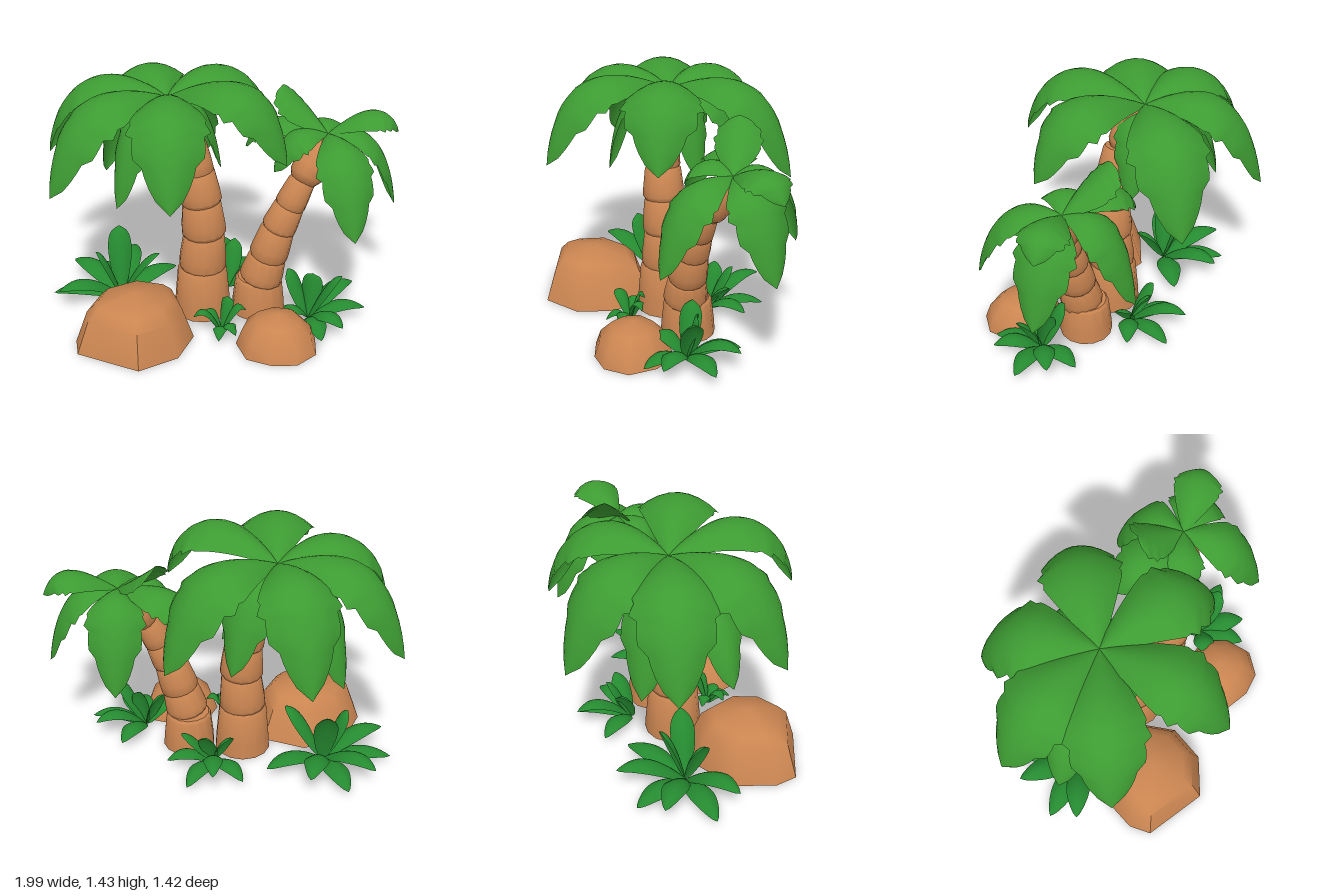
import * as THREE from 'three';
import { toCreasedNormals } from 'three/addons/utils/BufferGeometryUtils.js';

const V = (a) => new THREE.Vector3(...a);
const brown = new THREE.MeshStandardMaterial({ color: 0xca8551 });
brown.name = 'earthBrown';
const green = new THREE.MeshStandardMaterial({ color: 0x3d9b32, side: THREE.DoubleSide });
green.name = 'palmGreen';
const darkGreen = new THREE.MeshStandardMaterial({ color: 0x258a30, side: THREE.DoubleSide });
darkGreen.name = 'plantGreen';

function addMesh(parent, name, geometry, material) {
  const mesh = new THREE.Mesh(geometry, material);
  mesh.name = name;
  parent.add(mesh);
  return mesh;
}

function buildGeometry(points, index) {
  const g = new THREE.BufferGeometry();
  g.setAttribute('position', new THREE.Float32BufferAttribute(points, 3));
  g.setIndex(index);
  g.computeVertexNormals();
  return g;
}

// Arched leaf: a curved spine swept with a drooping cross-section, toothed along the edge for fronds
function leafGeometry(base, tip, ctrlHeight, width, { teeth, reach, fullness }) {
  const ctrl = base.clone().lerp(tip, reach).setY(ctrlHeight);
  const spine = new THREE.QuadraticBezierCurve3(base, ctrl, tip);
  const out = tip.clone().sub(base).setY(0).normalize();
  const side = new THREE.Vector3(-out.z, 0, out.x);
  const rows = 20, cols = 8, points = [], index = [];
  for (let i = 0; i <= rows; i++) {
    const t = i / rows;
    const p = spine.getPoint(t);
    const normal = side.clone().cross(spine.getTangent(t)).normalize();
    let w = (width / 2) * Math.pow(Math.max(0, Math.sin(Math.PI * Math.pow(t, fullness))), 0.65);
    if (teeth && t > 0.4) w *= 0.88 + 0.16 * ((i % 4) / 3);
    for (let j = 0; j <= cols; j++) {
      const u = (j / cols) * 2 - 1;
      const q = p.clone().addScaledVector(side, w * u).addScaledVector(normal, -w * 0.45 * u * u);
      points.push(q.x, Math.max(q.y, 0.005), q.z);
      if (i < rows && j < cols) {
        const a = i * (cols + 1) + j, b = a + cols + 1;
        index.push(a, a + 1, b, b, a + 1, b + 1);
      }
    }
  }
  return buildGeometry(points, index);
}

// Stacked, rounded trunk rings following a list of joints
function addTrunk(parent, joints, radii) {
  radii.forEach((r, i) => {
    const a = V(joints[i]), b = V(joints[i + 1]);
    const h = a.distanceTo(b) + 0.012;
    const rTop = r * 0.87;
    const profile = i === 0
      ? [[0, 0], [r, 0], [r * 0.97, h * 0.3], [rTop, h * 0.93], [rTop * 0.9, h], [0, h]]
      : [[0, 0], [r * 0.9, 0], [r, h * 0.1], [r * 0.98, h * 0.35], [rTop, h * 0.92], [rTop * 0.88, h], [0, h]];
    const geo = new THREE.LatheGeometry(profile.map(([x, y]) => new THREE.Vector2(x, y)), 14);
    const ring = addMesh(parent, 'trunkRing', toCreasedNormals(geo, 0.7), brown);
    ring.position.copy(a);
    if (i > 0) ring.quaternion.setFromUnitVectors(new THREE.Vector3(0, 1, 0), b.sub(a).normalize());
  });
}

// Egg-shaped bud joining trunk and crown
function addBud(parent, from, to, radius) {
  const a = V(from), b = V(to);
  const h = a.distanceTo(b);
  const profile = [[0, 0], [0.65, 0.04], [0.95, 0.2], [1, 0.4], [0.85, 0.65], [0.5, 0.9], [0, 1]];
  const geo = new THREE.LatheGeometry(profile.map(([x, y]) => new THREE.Vector2(x * radius, y * h)), 14);
  const bud = addMesh(parent, 'crownBud', geo, brown);
  bud.position.copy(a);
  bud.quaternion.setFromUnitVectors(new THREE.Vector3(0, 1, 0), b.sub(a).normalize());
}

// Fronds given as [tip x, y, z, arch height, width]
function addCrown(parent, name, center, fronds) {
  const style = { teeth: true, reach: 0.82, fullness: 1.1 };
  for (const [x, y, z, arch, width] of fronds)
    addMesh(parent, name, leafGeometry(V(center), V([x, y, z]), arch, width, style), green);
}

// Boulder: a footprint shrunk upward ring by ring and closed at top and bottom
function addRock(parent, name, [cx, cz], footprint, rings, height) {
  const n = footprint.length, points = [], index = [];
  for (const [s, y] of rings)
    for (const [x, z] of footprint) points.push(cx + (x - cx) * s, y, cz + (z - cz) * s);
  points.push(cx, height, cz, cx, 0, cz);
  const top = rings.length * n, bottom = top + 1, last = top - n;
  for (let j = 0; j < n; j++) {
    const k = (j + 1) % n;
    for (let i = 0; i < rings.length - 1; i++) {
      const a = i * n + j, b = i * n + k;
      index.push(a, b, a + n, b, b + n, a + n);
    }
    index.push(last + j, last + k, top, k, j, bottom);
  }
  addMesh(parent, name, toCreasedNormals(buildGeometry(points, index), 0.9), brown);
}

// Ground plant: lance leaves from one root to the listed tips
function addPlant(parent, name, root, width, tips) {
  const plant = new THREE.Group();
  plant.name = name;
  const style = { teeth: false, reach: 0.55, fullness: 0.9 };
  for (const tip of tips) {
    const arch = tip[1] + (tip[1] > 0.2 ? 0 : 0.12);
    addMesh(plant, 'plantLeaf', leafGeometry(V(root), V(tip), arch, width, style), darkGreen);
  }
  parent.add(plant);
}

export function createModel() {
  const model = new THREE.Group();
  model.name = 'palmIslet';

  // Tall palm
  const tall = new THREE.Group();
  tall.name = 'tallPalm';
  model.add(tall);
  addTrunk(tall, [[-0.125, 0, 0.08], [-0.125, 0.28, 0.08], [-0.113, 0.5, 0.085], [-0.125, 0.7, 0.085],
    [-0.15, 0.88, 0.075], [-0.18, 1.05, 0.06]], [0.165, 0.137, 0.128, 0.118, 0.1]);
  addBud(tall, [-0.185, 1.03, 0.06], [-0.27, 1.3, -0.02], 0.088);
  addCrown(tall, 'upperFrond', [-0.3, 1.29, -0.05], [
    [-0.46, 0.84, -0.71, 1.58, 0.44],
    [0.3, 0.86, -0.5, 1.6, 0.45],
    [0.31, 1.03, 0.35, 1.67, 0.44],
    [-0.33, 0.95, 0.71, 1.64, 0.42],
    [-0.95, 0.87, 0.3, 1.58, 0.44],
    [-0.98, 0.86, -0.33, 1.58, 0.44],
  ]);
  addCrown(tall, 'lowerFrond', [-0.3, 1.26, -0.05], [
    [-0.95, 0.85, -0.01, 1.38, 0.28],
    [-0.66, 0.7, -0.38, 1.4, 0.34],
    [-0.05, 0.8, -0.42, 1.4, 0.32],
    [0.0, 0.83, -0.08, 1.36, 0.26],
    [-0.6, 0.74, 0.2, 1.38, 0.28],
  ]);

  // Leaning palm
  const leaning = new THREE.Group();
  leaning.name = 'leaningPalm';
  model.add(leaning);
  addTrunk(leaning, [[0.2, 0, 0.11], [0.205, 0.21, 0.13], [0.245, 0.36, 0.14], [0.3, 0.54, 0.145],
    [0.36, 0.68, 0.145], [0.43, 0.83, 0.135]], [0.155, 0.125, 0.112, 0.1, 0.088]);
  addBud(leaning, [0.425, 0.81, 0.14], [0.575, 1.08, 0.06], 0.1);
  addCrown(leaning, 'frond', [0.58, 1.08, 0.06], [
    [0.99, 1.06, 0.02, 1.31, 0.28],
    [0.99, 0.62, 0.05, 1.2, 0.34],
    [0.66, 0.64, 0.53, 1.2, 0.32],
    [0.27, 0.9, 0.15, 1.22, 0.28],
    [0.15, 0.92, -0.17, 1.24, 0.3],
    [0.58, 0.62, -0.35, 1.23, 0.33],
    [0.35, 1.31, -0.12, 1.26, 0.26],
  ]);

  // Boulders
  addRock(model, 'largeRock', [-0.52, 0.36],
    [[-0.86, 0.36], [-0.85, 0.49], [-0.52, 0.68], [-0.3, 0.58], [-0.2, 0.38], [-0.26, 0.12], [-0.5, 0.03], [-0.76, 0.14]],
    [[1, 0], [0.8, 0.19], [0.62, 0.25]], 0.3);
  addRock(model, 'smallRock', [0.26, 0.49],
    [[0.03, 0.47], [0.07, 0.63], [0.2, 0.7], [0.34, 0.71], [0.46, 0.62], [0.48, 0.46], [0.42, 0.32], [0.25, 0.27], [0.09, 0.33]],
    [[1, 0], [0.86, 0.09], [0.56, 0.16]], 0.2);

  // Ground plants
  addPlant(model, 'leftPlant', [-0.6, 0.01, -0.08], 0.14, [
    [-1, 0.04, -0.1], [-0.96, 0.14, 0.06], [-0.88, 0.12, -0.35], [-0.6, 0.4, -0.24], [-0.74, 0.33, -0.05],
    [-0.37, 0.33, 0], [-0.5, 0.14, -0.46], [-0.26, 0.08, -0.28], [-0.72, 0.04, -0.44]]);
  addPlant(model, 'rightPlant', [0.47, 0.01, 0.27], 0.125, [
    [0.8, 0.07, 0.28], [0.65, 0.31, 0.32], [0.76, 0.14, 0.1], [0.36, 0.29, 0.17], [0.5, 0.04, 0.55],
    [0.63, 0.08, 0.5], [0.6, 0.06, 0], [0.3, 0.1, 0.38], [0.5, 0.28, 0.22]]);
  addPlant(model, 'frontPlant', [-0.04, 0.01, 0.36], 0.08, [
    [-0.2, 0.13, 0.38], [0.1, 0.14, 0.35], [-0.07, 0.04, 0.5], [0.02, 0.17, 0.29], [-0.14, 0.08, 0.27], [0.03, 0.05, 0.47]]);
  addPlant(model, 'backPlant', [0.05, 0.01, -0.11], 0.115, [
    [0.2, 0.04, -0.4], [-0.12, 0.05, -0.36], [0.1, 0.27, -0.25], [0.32, 0.08, -0.2],
    [-0.05, 0.25, -0.22], [0.05, 0.16, -0.46], [0.24, 0.22, -0.13]]);

  return model;
}
